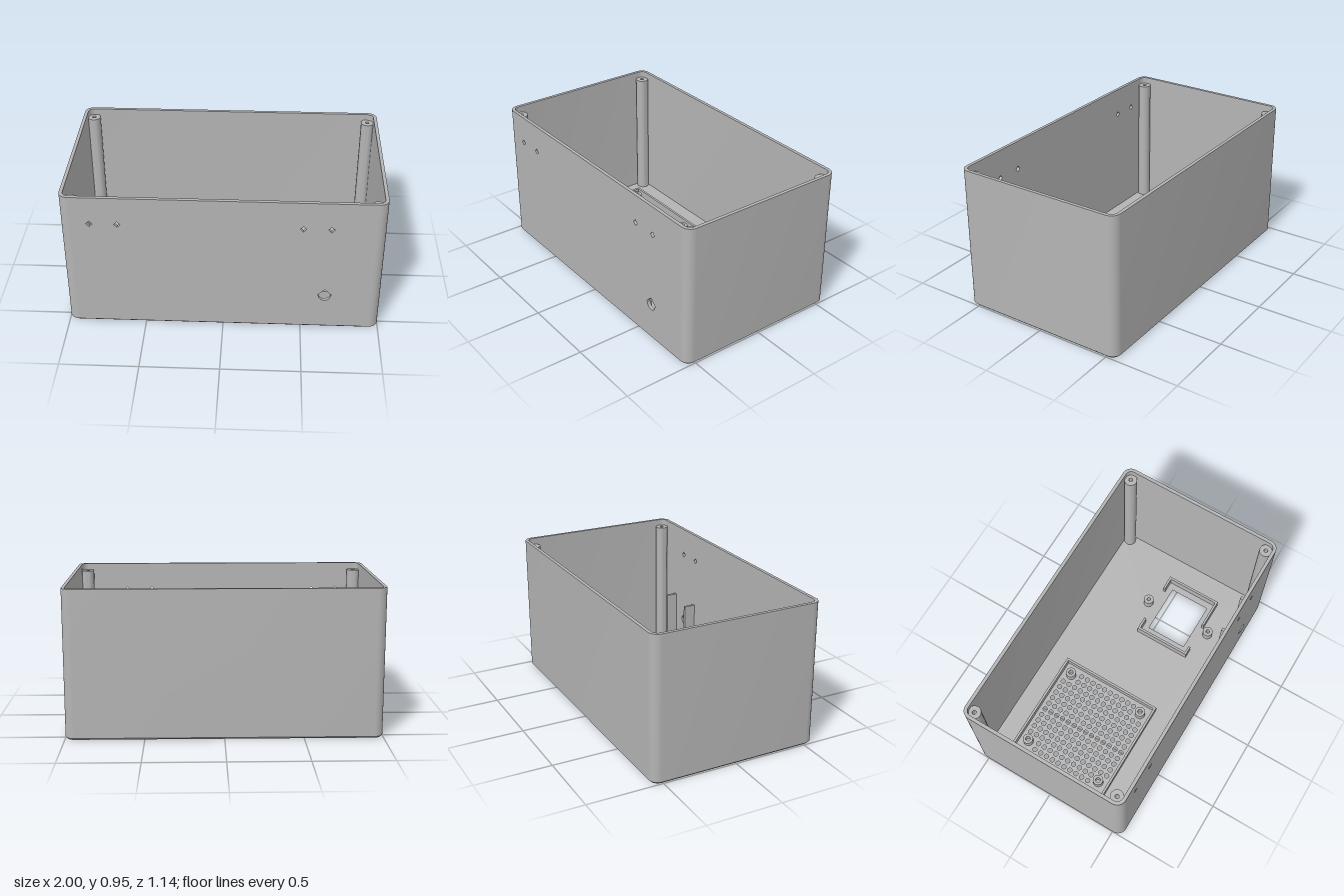
import * as THREE from 'three';
import { toCreasedNormals } from 'three/addons/utils/BufferGeometryUtils.js';

const W = 1, D = 0.57, H = 0.955, R = 0.06;      // half width, half depth, height, corner radius
const WALL = 0.022, FLOOR = 0.022, CHAMFER = 0.012;

// Rounded-rectangle outline, starting at the front right corner and ending at the front left one
function outline(inset, y) {
  const pts = [], r = R - inset, n = 10;
  [[-1, 1, 1], [-1, -1, 2], [1, -1, 3], [1, 1, 4]].forEach(([sx, sz, q]) => {
    for (let i = 0; i <= n; i++) {
      const a = (q + i / n) * Math.PI / 2;
      pts.push(new THREE.Vector3(sx * (W - R) + r * Math.cos(a), y, sz * (D - R) + r * Math.sin(a)));
    }
  });
  return pts;
}

// Skin a list of [inset, y] outlines
function loft(sections, closed) {
  const rings = sections.map(([inset, y]) => outline(inset, y));
  const n = rings[0].length, index = [];
  for (let j = 0; j < rings.length - 1; j++) {
    for (let i = 0; i < (closed ? n : n - 1); i++) {
      const a = j * n + i, b = j * n + (i + 1) % n;
      index.push(a, a + n, b, b, a + n, b + n);
    }
  }
  const g = new THREE.BufferGeometry().setFromPoints(rings.flat());
  g.setIndex(index);
  return toCreasedNormals(g, 0.5);
}

function polygon(points, Type = THREE.Path) {
  return new Type(points.map(([x, y]) => new THREE.Vector2(x, y)));
}

function circle(x, y, r) {
  const p = new THREE.Path();
  p.absarc(x, y, r, 0, Math.PI * 2, true);
  return p;
}

function extrude(shape, depth, curveSegments = 6) {
  return new THREE.ExtrudeGeometry(shape, { depth, bevelEnabled: false, curveSegments });
}

export function createModel() {
  const model = new THREE.Group();
  model.name = 'enclosure';
  const plastic = new THREE.MeshStandardMaterial({ color: 0xb4b4b4 });
  plastic.name = 'grey plastic';

  const add = (name, geometry, x = 0, y = 0, z = 0) => {
    const mesh = new THREE.Mesh(geometry, plastic);
    mesh.name = name;
    mesh.position.set(x, y, z);
    model.add(mesh);
    return mesh;
  };
  // Upright bar given by its footprint
  const bar = (name, x0, x1, z0, z1, h) =>
    add(name, new THREE.BoxGeometry(x1 - x0, h, z1 - z0), (x0 + x1) / 2, FLOOR + h / 2, (z0 + z1) / 2);
  // Hollow screw post
  const post = (name, x, z, r, bore, h) => {
    const profile = [[r, 0], [r, h], [bore, h], [bore, 0]].map(([a, b]) => new THREE.Vector2(a, b));
    add(name, toCreasedNormals(new THREE.LatheGeometry(profile, 28), 0.6), x, FLOOR, z);
  };

  // Side and back walls with rounded corners, and the chamfered foot
  add('walls', loft([[0, CHAMFER], [0, H], [WALL, H], [WALL, FLOOR - 0.01]], false));
  add('bottomChamfer', loft([[CHAMFER, 0], [0, CHAMFER]], true));

  // Front wall with four diamond holes and one teardrop hole
  const fx = W - R;
  const front = polygon([[-fx, CHAMFER], [fx, CHAMFER], [fx, H], [-fx, H]], THREE.Shape);
  const d = 0.02;
  [-0.82, -0.648, 0.492, 0.664].forEach(x =>
    front.holes.push(polygon([[x - d, 0.765], [x, 0.765 + d], [x + d, 0.765], [x, 0.765 - d]])));
  const tx = 0.645, ty = 0.256;
  const tear = new THREE.Path();
  tear.moveTo(tx, ty + 0.048);
  tear.lineTo(tx - 0.046, ty + 0.003);
  tear.lineTo(tx - 0.038, ty);
  tear.absarc(tx, ty, 0.038, Math.PI, Math.PI * 2, false);
  tear.lineTo(tx + 0.046, ty + 0.003);
  front.holes.push(tear);
  add('frontWall', extrude(front, WALL, 12), 0, 0, D - WALL);

  // Floor with vent grille and square window
  const floor = polygon(outline(CHAMFER, 0).map(p => [p.x, -p.z]), THREE.Shape);
  for (let i = 0; i < 14; i++) {
    for (let j = 0; j < 14; j++) {
      const edgeX = i < 2 || i > 11, edgeZ = j < 2 || j > 11;
      if (edgeX && edgeZ) continue;
      floor.holes.push(circle(-0.79 + i * 0.0477, 0.35 - j * 0.0477, 0.0155));
    }
  }
  floor.holes.push(polygon([[0.4, 0.032], [0.745, 0.032], [0.745, -0.255], [0.4, -0.255]]));
  add('floor', extrude(floor, FLOOR).rotateX(-Math.PI / 2));

  // Tall lid posts in the corners
  for (const x of [-0.94, 0.94]) {
    for (const z of [-0.512, 0.508]) post('lidPost', x, z, 0.043, 0.013, 0.89);
  }

  // Raised frame and screw posts around the grille
  const t = 0.016, fh = 0.05;
  bar('grilleFrameLeft', -0.845, -0.845 + t, -0.405, 0.325, fh);
  bar('grilleFrameRight', -0.111 - t, -0.111, -0.405, 0.325, fh);
  bar('grilleFrameBack', -0.845 + t, -0.111 - t, -0.405, -0.405 + t, fh);
  bar('grilleFrameFront', -0.845 + t, -0.111 - t, 0.325 - t, 0.325, fh);
  for (const x of [-0.76, -0.196]) {
    for (const z of [-0.325, 0.242]) post('grillePost', x, z, 0.035, 0.016, 0.06);
  }

  // Brackets and screw posts around the window
  const bh = 0.06;
  bar('bracketLeft', 0.334, 0.35, -0.09, 0.308, bh);
  bar('bracketLeftBackArm', 0.35, 0.43, -0.09, -0.074, bh);
  bar('bracketLeftFrontArm', 0.35, 0.4, 0.292, 0.308, bh);
  bar('bracketRight', 0.79, 0.806, -0.09, 0.308, bh);
  bar('bracketRightBackArm', 0.705, 0.79, -0.09, -0.074, bh);
  bar('bracketRightFrontArm', 0.595, 0.79, 0.292, 0.308, bh);
  for (const z of [-0.135, 0.355]) post('windowPost', 0.57, z, 0.035, 0.013, 0.06);

  // Guide ribs on the inside of the front wall
  for (const x of [0.508, 0.78]) bar('guideRib', x - 0.01, x + 0.01, 0.47, D - WALL, 0.4);

  return model;
}
